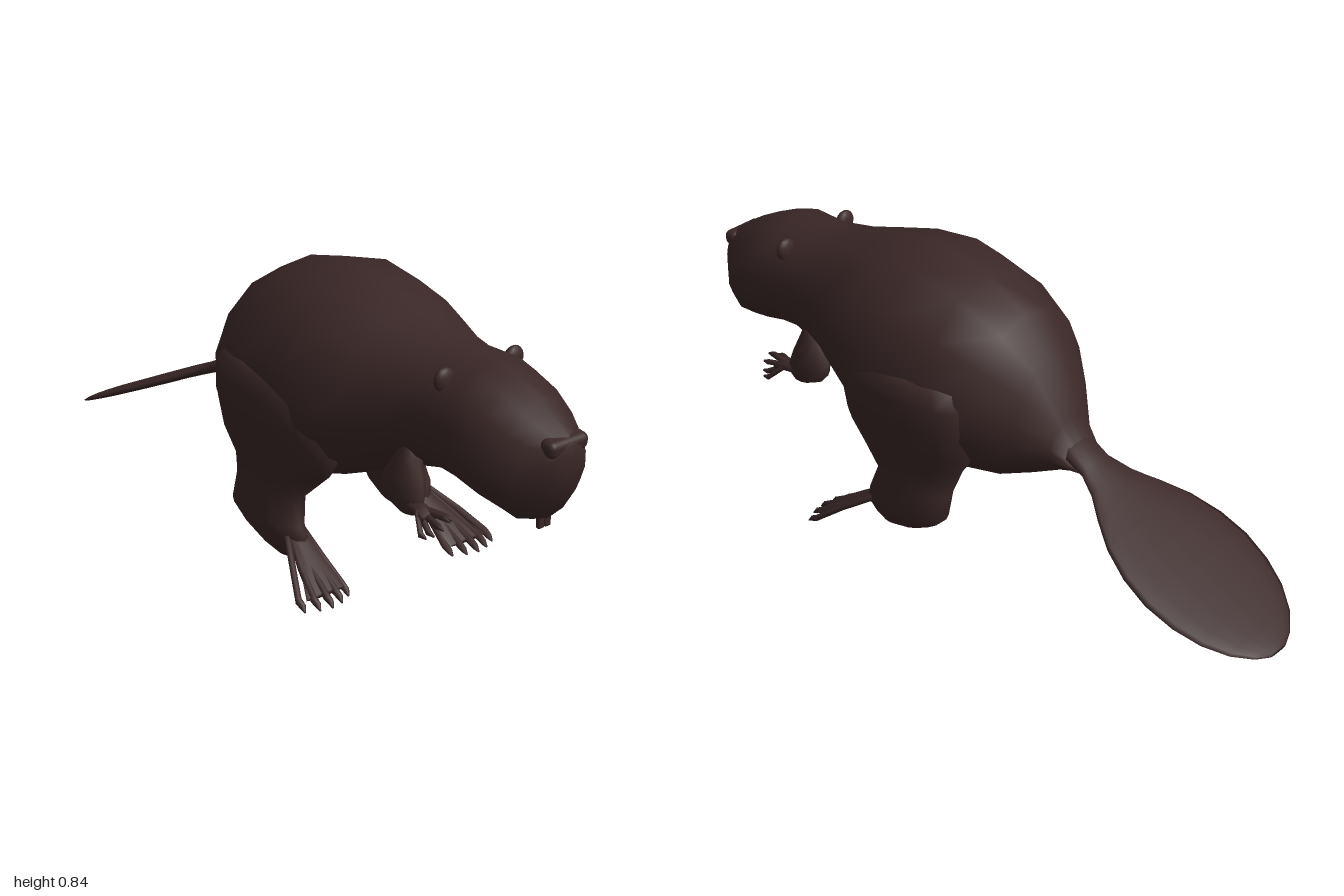
import * as THREE from 'three';
import { RoundedBoxGeometry } from 'three/addons/geometries/RoundedBoxGeometry.js';

// Skin of rings with closed ends; faces are turned outward whichever way the rings run
function skin(rings) {
  const n = rings[0].length, last = rings.length - 1, pos = [], idx = [];
  rings.forEach(r => r.forEach(p => pos.push(...p)));
  for (const r of [rings[0], rings[last]]) {
    pos.push(...[0, 1, 2].map(k => r.reduce((s, p) => s + p[k], 0) / n));
  }
  const c0 = n * rings.length;
  for (let j = 0; j < n; j++) {
    const k = (j + 1) % n;
    for (let i = 0; i < last; i++) {
      const a = i * n + j, b = i * n + k;
      idx.push(a, b, a + n, b, b + n, a + n);
    }
    idx.push(c0, k, j, c0 + 1, last * n + j, last * n + k);
  }
  const v = i => new THREE.Vector3().fromArray(pos, i * 3);
  let volume = 0;
  for (let i = 0; i < idx.length; i += 3) volume += v(idx[i]).dot(v(idx[i + 1]).cross(v(idx[i + 2])));
  if (volume < 0) idx.reverse();
  const g = new THREE.BufferGeometry();
  g.setAttribute('position', new THREE.Float32BufferAttribute(pos, 3));
  g.setIndex(idx);
  g.computeVertexNormals();
  return g;
}

// Oval rings stacked along x or y. Row: [station, low, high, zLow, zHigh];
// wide = height share at which the oval is widest
function loft(axis, rows, { n = 14, wide = 0.5, side = 1 } = {}) {
  return skin(rows.map(([s, lo, hi, z0, z1]) => Array.from({ length: n }, (_, j) => {
    const t = j / n * Math.PI * 2, c = Math.cos(t), mid = lo + (hi - lo) * wide;
    const h = mid + c * (c > 0 ? hi - mid : mid - lo);
    const z = side * ((z0 + z1) / 2 + Math.sin(t) * (z1 - z0) / 2);
    return axis === 'x' ? [s, h, z] : [h, s, z];
  })));
}

const symmetric = rows => rows.map(([x, lo, hi, w]) => [x, lo, hi, -w, w]);

// Tapered digit through points [x, y, z, radius]
function digit(points, side) {
  return loft('x', points.map(([x, y, z, r]) => [x, y - r, y + r, z - r, z + r]), { n: 6, side });
}

export function createModel() {
  const model = new THREE.Group();
  const fur = new THREE.MeshStandardMaterial({ color: 0x3b2727 });
  fur.name = 'dark brown fur';
  const add = (name, geometry, parent = model) => {
    const m = new THREE.Mesh(geometry, fur);
    m.name = name;
    parent.add(m);
    return m;
  };
  const blob = (name, p, s) => {
    const m = add(name, new THREE.SphereGeometry(1, 14, 10));
    m.position.set(...p);
    m.scale.set(...s);
    return m;
  };

  // Body and head in one skin
  add('bodyAndHead', loft('x', symmetric([
    [-0.38, 0.365, 0.395, 0.055], [-0.34, 0.36, 0.405, 0.065], [-0.29, 0.335, 0.49, 0.085],
    [-0.22, 0.30, 0.645, 0.15], [-0.13, 0.265, 0.74, 0.23], [0, 0.24, 0.81, 0.275],
    [0.16, 0.235, 0.845, 0.293], [0.30, 0.285, 0.825, 0.278], [0.40, 0.33, 0.797, 0.235],
    [0.51, 0.385, 0.765, 0.185], [0.62, 0.415, 0.742, 0.167], [0.73, 0.405, 0.745, 0.168],
    [0.81, 0.385, 0.72, 0.162], [0.88, 0.37, 0.683, 0.142], [0.925, 0.385, 0.655, 0.115],
    [0.965, 0.45, 0.63, 0.08], [0.985, 0.49, 0.615, 0.058], [0.995, 0.53, 0.605, 0.035],
  ]), { wide: 0.47 }));

  // Flat paddle tail
  const tail = [[-0.30, 0.06, 0.03], [-0.38, 0.057, 0.021], [-0.44, 0.085, 0.018], [-0.50, 0.13, 0.016],
    [-0.57, 0.175, 0.016], [-0.65, 0.205, 0.016], [-0.73, 0.215, 0.015], [-0.81, 0.203, 0.014],
    [-0.88, 0.175, 0.013], [-0.94, 0.13, 0.012], [-0.98, 0.078, 0.01], [-0.998, 0.035, 0.006]];
  add('tail', loft('x', symmetric(tail.map(([x, w, t]) => {
    const y = 0.387 + (x + 0.36) * 0.472;
    return [x, y - t, y + t, w];
  })), { n: 16 }));

  // Nose pad, lower lip and front teeth
  const nose = add('nose', new RoundedBoxGeometry(0.05, 0.045, 0.13, 3, 0.018));
  nose.position.set(0.967, 0.598, 0);
  nose.rotation.z = -0.15;
  blob('lowerLip', [0.85, 0.395, 0], [0.07, 0.025, 0.06]);
  for (const z of [-0.011, 0.011]) {
    const tooth = add('tooth', new RoundedBoxGeometry(0.014, 0.05, 0.02, 2, 0.005));
    tooth.position.set(0.91, 0.38, z);
  }

  for (const side of [1, -1]) {
    // Ears and eyes
    const ear = blob('ear', [0.665, 0.694, side * 0.115], [0.017, 0.034, 0.032]);
    ear.rotation.x = side * 0.5;
    blob('eye', [0.78, 0.666, side * 0.098], [0.018, 0.018, 0.015]);

    // Hind leg: broad thigh down to the heel
    const hind = new THREE.Group();
    hind.name = 'hindLeg';
    model.add(hind);
    add('thighAndHeel', loft('y', [
      [0.592, 0.0, 0.2, 0.2, 0.27], [0.575, -0.09, 0.27, 0.13, 0.292], [0.53, -0.115, 0.31, 0.11, 0.307],
      [0.46, -0.12, 0.34, 0.1, 0.305], [0.37, -0.115, 0.338, 0.09, 0.288], [0.30, -0.065, 0.285, 0.1, 0.272],
      [0.23, -0.045, 0.215, 0.145, 0.265], [0.16, -0.045, 0.235, 0.165, 0.28],
      [0.115, 0.0, 0.25, 0.165, 0.268], [0.08, 0.06, 0.23, 0.175, 0.25], [0.06, 0.13, 0.2, 0.195, 0.235],
    ], { side, n: 16 }), hind);

    // Webbed foot with five clawed toes
    add('footWeb', loft('x', [
      [0.17, 0.12, 0.165, 0.18, 0.25], [0.25, 0.088, 0.12, 0.18, 0.255],
      [0.32, 0.052, 0.072, 0.18, 0.285], [0.375, 0.024, 0.036, 0.185, 0.315],
    ], { side }), hind);
    for (let i = 0; i < 5; i++) {
      const z = 0.182 + i * 0.0365, x = 0.385 + 0.025 * Math.sin(i / 4 * Math.PI);
      add('toe', digit([
        [0.2, 0.135, 0.192 + i * 0.012, 0.012], [0.29, 0.079, (z + 0.198 + i * 0.014) / 2, 0.011],
        [x - 0.025, 0.028, z, 0.011], [x - 0.005, 0.018, z, 0.009], [x + 0.005, 0.008, z + 0.002, 0.003],
      ], side), hind);
    }

    // Front leg with bent elbow
    const front = new THREE.Group();
    front.name = 'frontLeg';
    model.add(front);
    add('arm', loft('y', [
      [0.515, 0.55, 0.57, 0.11, 0.145], [0.46, 0.52, 0.595, 0.1, 0.162], [0.41, 0.487, 0.618, 0.1, 0.178],
      [0.37, 0.48, 0.632, 0.112, 0.182], [0.34, 0.505, 0.632, 0.122, 0.18], [0.32, 0.55, 0.615, 0.135, 0.17],
    ], { side, n: 10 }), front);
    add('palm', loft('x', [
      [0.59, 0.335, 0.365, 0.135, 0.175], [0.64, 0.328, 0.358, 0.132, 0.178], [0.67, 0.323, 0.348, 0.13, 0.185],
    ], { side, n: 8 }), front);
    const tips = [[0.715, 0.335, 0.125], [0.73, 0.342, 0.145], [0.73, 0.325, 0.165], [0.715, 0.308, 0.182], [0.7, 0.3, 0.195]];
    tips.forEach(([x, y, z], i) => add('finger', digit([
      [0.64, 0.343, 0.143 + i * 0.007, 0.01], [x - 0.02, y + 0.004, z, 0.009], [x, y, z, 0.003],
    ], side), front));
  }
  return model;
}
